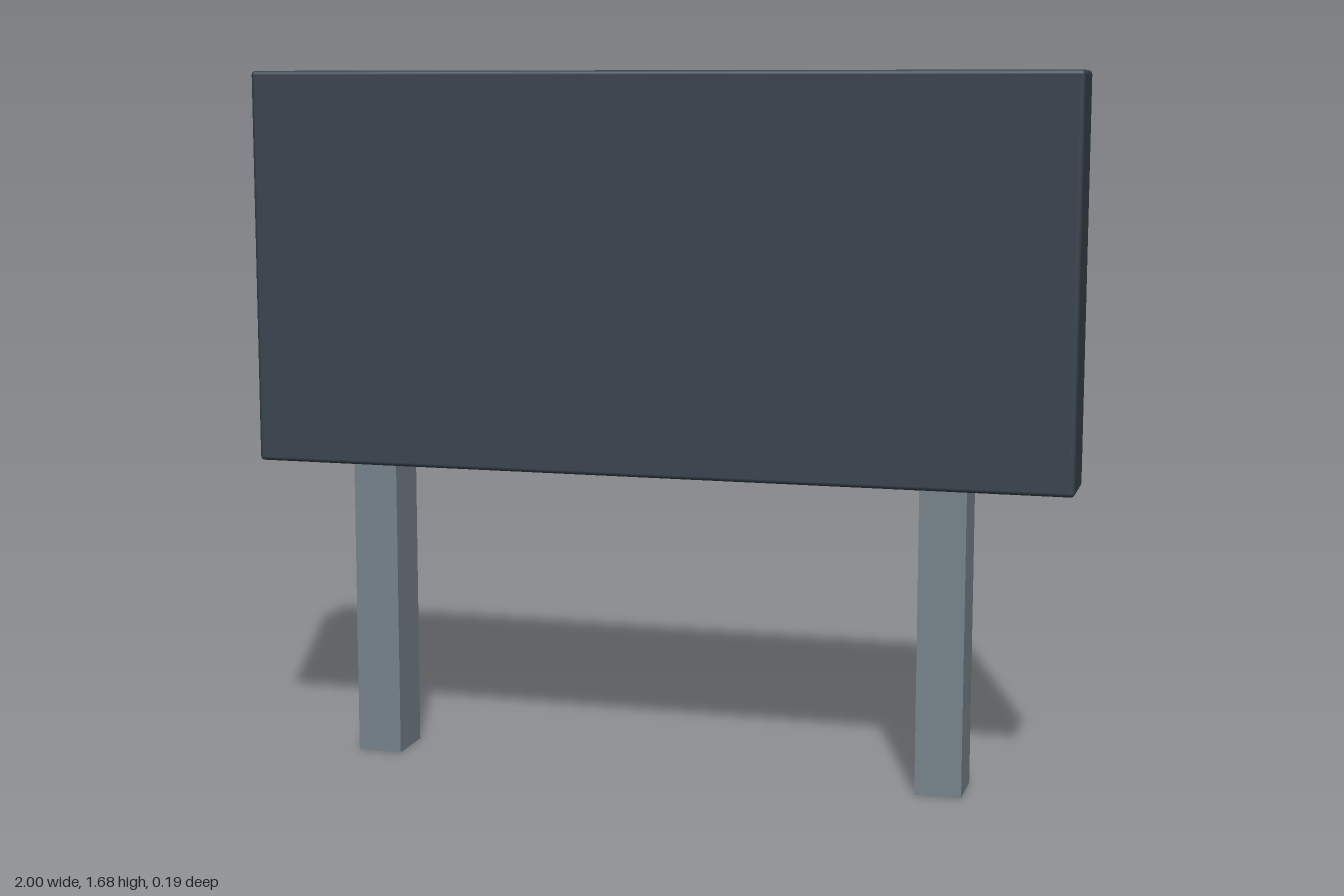
import * as THREE from 'three';
import { RoundedBoxGeometry } from 'three/addons/geometries/RoundedBoxGeometry.js';

const material = (color) => new THREE.MeshStandardMaterial({ color });

export function createModel() {
  const group = new THREE.Group();
  const slate = material(0x36424c);
  const steel = material(0x77838c);
  const maroon = material(0x6b3049);
  const teal = material(0x33636b);
  const silver = material(0xa9b0b0);

  const add = (name, geometry, mat, x, y, z) => {
    const mesh = new THREE.Mesh(geometry, mat);
    mesh.name = name;
    mesh.position.set(x, y, z);
    group.add(mesh);
  };
  const box = (name, w, h, d, mat, x, y, z) =>
    add(name, new THREE.BoxGeometry(w, h, d), mat, x, y, z);

  // Cabinet with softly eased edges
  add('cabinet', new RoundedBoxGeometry(2, 0.955, 0.168, 2, 0.01), slate, 0, 1.2025, 0.01);

  // Two square posts, let a little into the cabinet
  for (const side of [-1, 1]) {
    box(side > 0 ? 'leftPost' : 'rightPost', 0.11, 0.74, 0.132, steel, side * 0.7, 0.37, 0.01);
  }

  // Raised panel on the back
  box('backPanel', 1.88, 0.82, 0.018, maroon, 0, 1.2, -0.079);

  // Trim strip near the top of the panel
  box('trimStrip', 1.7, 0.038, 0.014, silver, 0, 1.512, -0.086);

  // Row of four upright plates
  for (let i = 0; i < 4; i++) {
    box(`plate${i + 1}`, 0.12, 0.32, 0.014, teal, -0.6 + i * 0.4, 1.16, -0.088);
  }

  return group;
}
